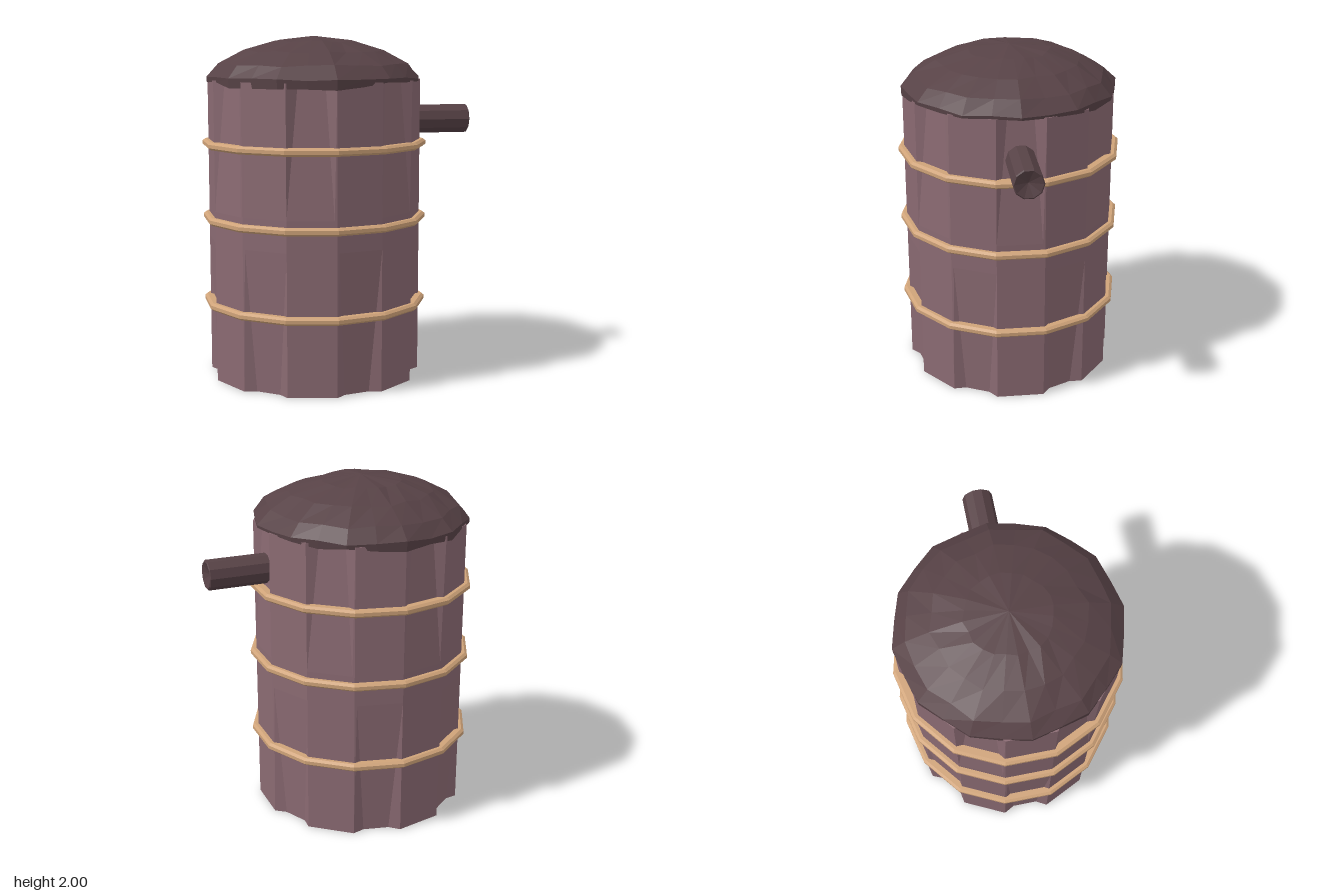
import * as THREE from 'three';

const mat = (name, color, extra = {}) =>
  Object.assign(new THREE.MeshStandardMaterial({ color, flatShading: true, ...extra }), { name });

const SIDES = 14;
const STEP = (Math.PI * 2) / SIDES;
const RADIUS = 0.625;

// Small seeded generator for the dome's rough surface
function seeded(seed) {
  return () => (seed = (seed * 16807) % 2147483647) / 2147483647;
}

// One cross-section of the staves: alternate faces are shaved back at the bottom or the top
function staveRing(y, bottomCut, topCut) {
  const ring = [];
  const apothem = RADIUS * Math.cos(STEP / 2);
  for (let k = 0; k < SIDES; k++) {
    const cut = k % 2 ? topCut : bottomCut;
    const mid = (k + 0.5) * STEP;
    const half = 0.125 - 0.05 * cut;
    const r = apothem - 0.035 * cut;
    const add = (out, side) => ring.push(new THREE.Vector3(
      Math.sin(mid) * out + Math.cos(mid) * side, y,
      Math.cos(mid) * out - Math.sin(mid) * side));
    add(apothem, -RADIUS * Math.sin(STEP / 2));
    add(r, -half);
    add(r, half);
  }
  return ring;
}

// Joins equal rings, listed from bottom to top, into one skin
function skin(rings, capBottom, capTop) {
  const pos = [];
  const tri = (...pts) => pts.forEach((p) => pos.push(p.x, p.y, p.z));
  const n = rings[0].length;
  for (let j = 0; j < rings.length - 1; j++) {
    for (let i = 0; i < n; i++) {
      const k = (i + 1) % n;
      const [a, b, c, d] = [rings[j][i], rings[j][k], rings[j + 1][k], rings[j + 1][i]];
      tri(a, b, c);
      tri(a, c, d);
    }
  }
  const first = rings[0], last = rings[rings.length - 1];
  for (let i = 0; i < n; i++) {
    const k = (i + 1) % n;
    if (capBottom) tri(capBottom, first[k], first[i]);
    if (capTop) tri(capTop, last[i], last[k]);
  }
  const geo = new THREE.BufferGeometry();
  geo.setAttribute('position', new THREE.Float32BufferAttribute(pos, 3));
  geo.computeVertexNormals();
  return geo;
}

// Domed lid with slightly uneven facets and a ragged rim
function domeGeometry() {
  const rand = seeded(41);
  const profile = [[0.63, 1.73], [0.632, 1.765], [0.56, 1.84], [0.42, 1.915], [0.24, 1.97]];
  const count = 24;
  const rings = profile.map(([r, y], j) => {
    const ring = [];
    for (let i = 0; i < count; i++) {
      const a = (i / count) * Math.PI * 2;
      const rr = r * (i % 2 ? 0.973 : 1) + (j > 1 ? (rand() - 0.5) * 0.02 : 0);
      const yy = y + (rand() - 0.5) * (j === 0 ? 0.04 : 0.014);
      ring.push(new THREE.Vector3(Math.sin(a) * rr, yy, Math.cos(a) * rr));
    }
    return ring;
  });
  return skin(rings, null, new THREE.Vector3(0, 2, 0));
}

export function createModel() {
  const group = new THREE.Group();
  group.name = 'barrel';
  const wood = mat('mauve wood', 0x8a6a72);
  const dark = mat('dark wood', 0x574246, { side: THREE.DoubleSide });
  const tan = mat('tan hoop', 0xcfa379);

  const add = (name, geo, material, x, y) => {
    const mesh = new THREE.Mesh(geo, material);
    mesh.name = name;
    mesh.position.set(x, y, 0);
    group.add(mesh);
    return mesh;
  };
  const cx = -0.15;

  // Body of staves
  const rings = [
    staveRing(0, 1, 0), staveRing(0.82, 0, 0), staveRing(1.0, 0, 0), staveRing(1.75, 0, 1),
  ];
  add('body', skin(rings, new THREE.Vector3(0, 0, 0), new THREE.Vector3(0, 1.75, 0)), wood, cx, 0);

  // Lid
  add('domeLid', domeGeometry(), dark, cx, 0);

  // Hoops with bevelled edges
  const hoopProfile = [[0.6, -0.022], [0.645, -0.022], [0.66, -0.01], [0.66, 0.01],
    [0.645, 0.022], [0.6, 0.022]].map(([r, y]) => new THREE.Vector2(r, y));
  const hoop = new THREE.LatheGeometry(hoopProfile, SIDES);
  [0.442, 0.942, 1.378].forEach((y, i) => add('hoop' + (i + 1), hoop, tan, cx, y));

  // Spout on the left side, with a shallow hollow end
  const spoutProfile = [[0.087, 0], [0.087, 0.365], [0.08, 0.37], [0, 0.34]]
    .map(([r, y]) => new THREE.Vector2(r, y));
  const spout = add('spout', new THREE.LatheGeometry(spoutProfile, 10), dark, 0.42, 1.505);
  spout.rotation.z = -Math.PI / 2;

  return group;
}
